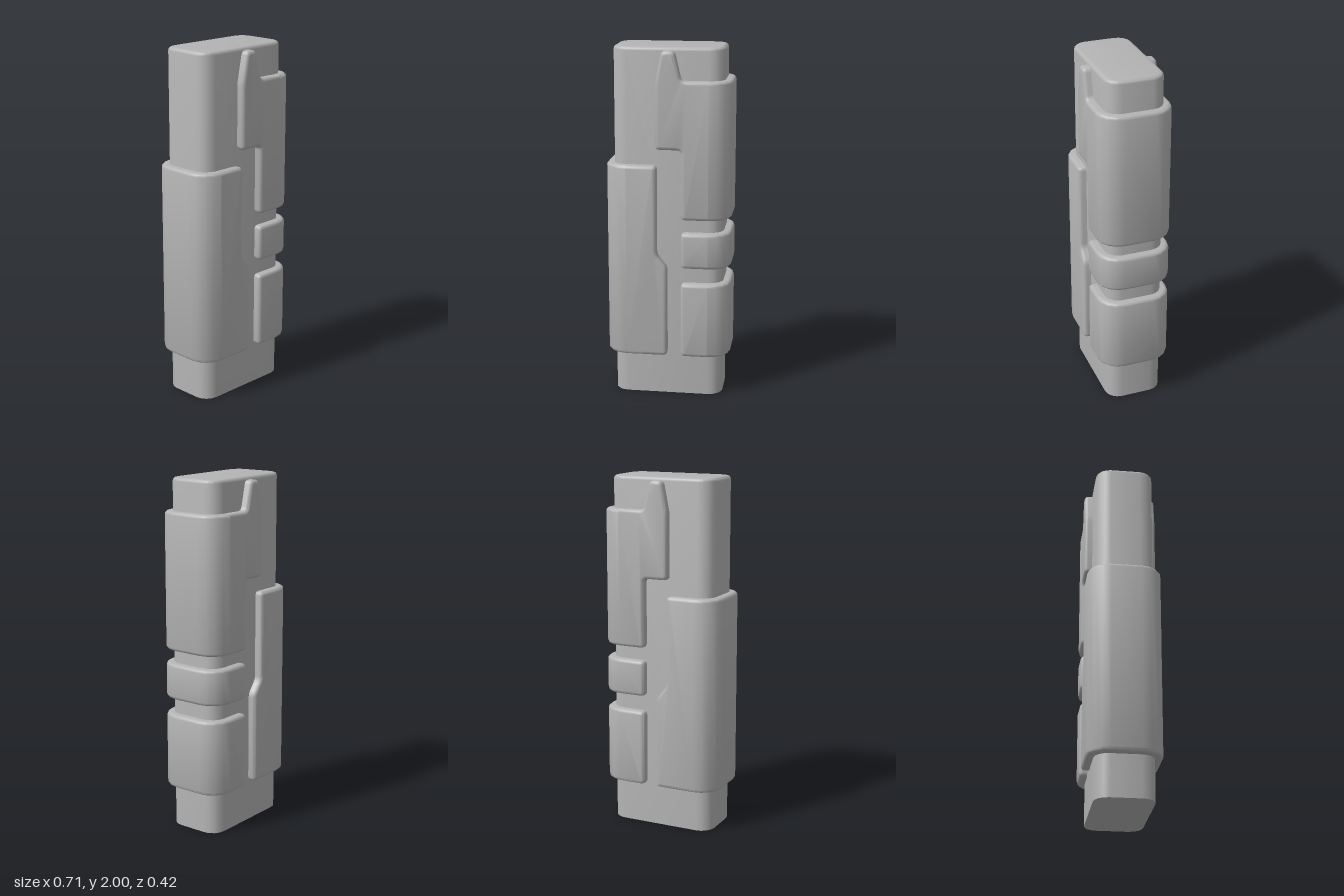
import * as THREE from 'three';
import { mergeGeometries, toCreasedNormals } from 'three/addons/utils/BufferGeometryUtils.js';

const BEVEL = 0.02;   // rounded edge on every part
const SEAM = 0.23;    // |x| where the flat faces end and the rounded sides begin
const CORE = { x: 0.31, z: 0.165 };
const SHELL = { x: 0.355, z: 0.21 };

// Quarter arc as points, measured from angle a0
function arc(cx, cy, r, a0, steps = 4) {
  return Array.from({ length: steps + 1 }, (_, i) => {
    const a = a0 + (i / steps) * Math.PI / 2;
    return new THREE.Vector2(cx + r * Math.cos(a), cy + r * Math.sin(a));
  });
}

// Softens the outline corners, except those lying on the hidden seam
function softOutline(corners, r = 0.024) {
  const pts = corners.map(([x, y]) => new THREE.Vector2(x, y));
  return pts.flatMap((p, i) => {
    if (Math.abs(p.x) > SEAM) return [p];
    const prev = pts[(i + pts.length - 1) % pts.length];
    const next = pts[(i + 1) % pts.length];
    const a = p.clone().add(prev.clone().sub(p).setLength(r));
    const b = p.clone().add(next.clone().sub(p).setLength(r));
    return new THREE.QuadraticBezierCurve(a, p, b).getPoints(3);
  });
}

// Extrusion with rounded edges that spans exactly from -> to
function bevelled(points, from, to) {
  const geo = new THREE.ExtrudeGeometry(new THREE.Shape(points), {
    depth: to - from - 2 * BEVEL,
    bevelEnabled: true,
    bevelThickness: BEVEL,
    bevelSize: BEVEL,
    bevelOffset: -BEVEL,
    bevelSegments: 3,
  });
  return geo.translate(0, 0, from + BEVEL);
}

// Moves vertices so one coordinate stays within limits
function clampAxis(geo, axis, min, max) {
  const pos = geo.attributes.position;
  for (let i = 0; i < pos.count; i++) {
    pos.setComponent(i, axis, THREE.MathUtils.clamp(pos.getComponent(i, axis), min, max));
  }
  return geo;
}

// Shell panel: a plate seen on front and back, joined by a rounded side.
// edge lists the free edge from bottom to top; side is +1 or -1.
function panelGeometry(side, y0, y1, edge) {
  const end = side * (SEAM + BEVEL);
  const outline = softOutline([[end, y0], ...edge, [end, y1]]);
  const plate = bevelled(outline, -SHELL.z, SHELL.z);
  clampAxis(plate, 0, side > 0 ? -1 : -SEAM, side > 0 ? SEAM : 1);

  const r = SHELL.x - SEAM;
  const section = [
    new THREE.Vector2(SEAM - BEVEL, -SHELL.z),
    ...arc(SEAM, r - SHELL.z, r, -Math.PI / 2),
    ...arc(SEAM, SHELL.z - r, r, 0),
    new THREE.Vector2(SEAM - BEVEL, SHELL.z),
  ].map((p) => new THREE.Vector2(p.x * side, p.y));
  const wrap = bevelled(section, y0, y1).rotateX(-Math.PI / 2);
  clampAxis(wrap, 0, side > 0 ? SEAM : -1, side > 0 ? 1 : -SEAM);

  return toCreasedNormals(mergeGeometries([plate, wrap]), 0.6);
}

// Inner body: rounded rectangle, soft on top and sharp at the base
function coreGeometry() {
  const r = CORE.x - SEAM;
  const x = SEAM, z = CORE.z - r;
  const section = [
    ...arc(x, z, r, 0),
    ...arc(-x, z, r, Math.PI / 2),
    ...arc(-x, -z, r, Math.PI),
    ...arc(x, -z, r, Math.PI * 1.5),
  ];
  const geo = bevelled(section, -2 * BEVEL, 2).rotateX(-Math.PI / 2);
  return toCreasedNormals(clampAxis(geo, 1, 0, 2), 0.6);
}

export function createModel() {
  const group = new THREE.Group();
  const grey = new THREE.MeshStandardMaterial({ color: 0xb4b4b4 });
  grey.name = 'grey';

  const add = (name, geo) => {
    const mesh = new THREE.Mesh(geo, grey);
    mesh.name = name;
    group.add(mesh);
  };
  add('core', coreGeometry());

  // Tall panel with a kinked edge
  add('rightPanel', panelGeometry(-1, 0.24, 1.35,
    [[0, 0.24], [0, 0.765], [-0.06, 0.84], [-0.06, 1.35]]));

  // Stack of panels on the other side
  add('lowerLeftPanel', panelGeometry(1, 0.24, 0.675, [[0.078, 0.24], [0.078, 0.675]]));
  add('middleLeftPanel', panelGeometry(1, 0.765, 0.97, [[0.078, 0.765], [0.078, 0.97]]));
  add('upperLeftPanel', panelGeometry(1, 1.045, 1.82, [
    [0.078, 1.045], [0.078, 1.44], [-0.065, 1.44], [-0.065, 1.81],
    [-0.03, 1.983], [0.04, 1.983], [0.078, 1.82],
  ]));
  return group;
}
